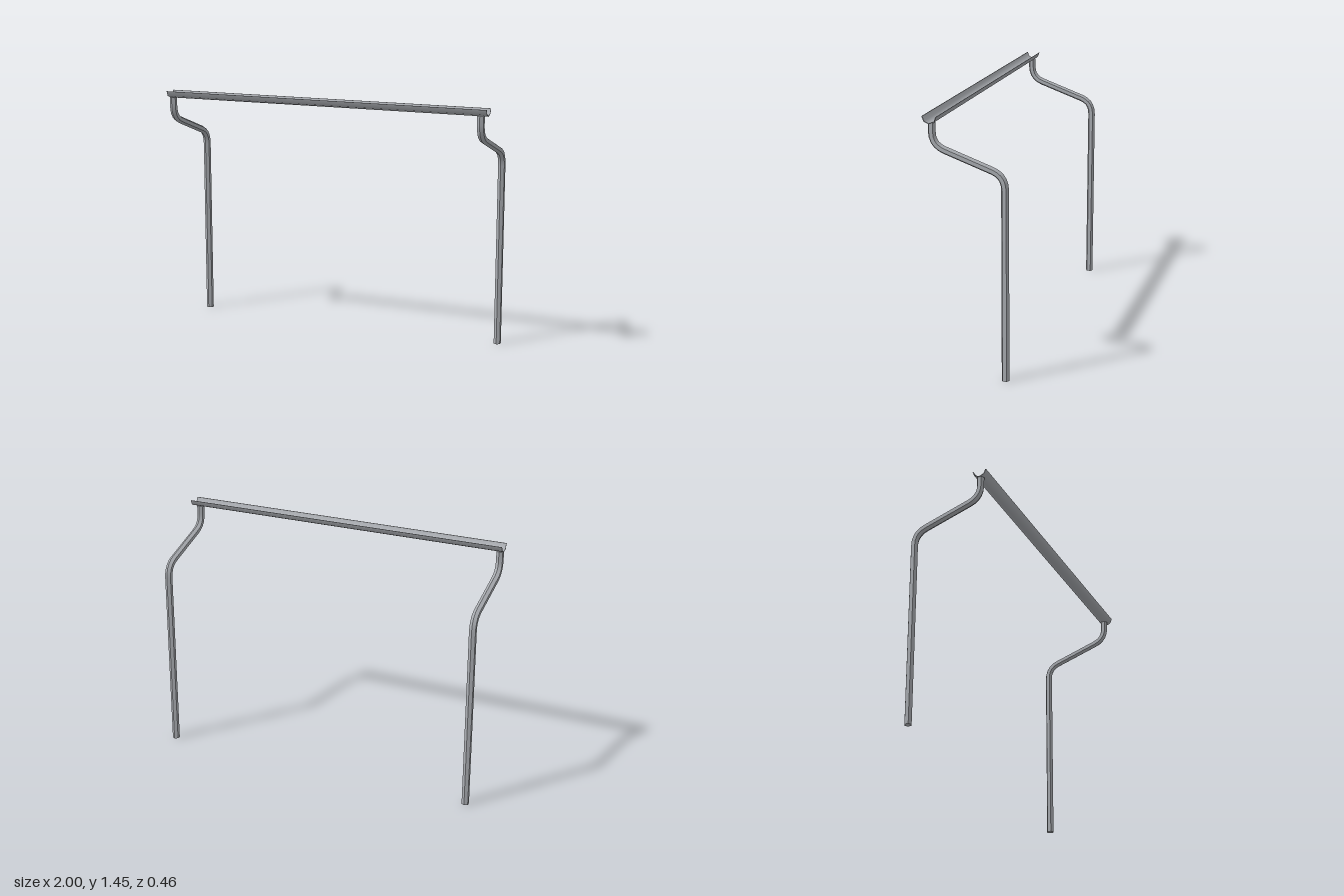
import * as THREE from 'three';
import { toCreasedNormals } from 'three/addons/utils/BufferGeometryUtils.js';

const SIDES = 6, PIPE_R = 0.0215, TROUGH_R = 0.041, SHEET = 0.004;
const FRONT_Z = 0.191, BACK_Z = -0.208, PIPE_TOP = 1.406;

// Side profile of a support pipe, from the trough down to the ground
function pipePath() {
  const v = (y, z) => new THREE.Vector3(0, y, z);
  const path = new THREE.CurvePath();
  path.add(new THREE.LineCurve3(v(PIPE_TOP, FRONT_Z), v(1.356, FRONT_Z)));
  path.add(new THREE.QuadraticBezierCurve3(v(1.356, FRONT_Z), v(1.286, FRONT_Z), v(1.261, 0.122)));
  path.add(new THREE.LineCurve3(v(1.261, 0.122), v(1.167, -0.141)));
  path.add(new THREE.QuadraticBezierCurve3(v(1.167, -0.141), v(1.143, BACK_Z), v(1.066, BACK_Z)));
  path.add(new THREE.LineCurve3(v(1.066, BACK_Z), v(0, BACK_Z)));
  return path.getPoints(5);
}

// Six-sided tube along the planar path: crisp between sides, smooth along the bends
function pipeGeometry(points) {
  const across = new THREE.Vector3(1, 0, 0);
  const position = [], normals = [], index = [];
  points.forEach((p, i) => {
    const before = p.clone().sub(points[Math.max(i - 1, 0)]).normalize();
    const after = points[Math.min(i + 1, points.length - 1)].clone().sub(p).normalize();
    const inPlane = across.clone().cross(before.add(after).normalize());
    const radial = (step) => {
      const a = (step / SIDES) * Math.PI * 2;
      return inPlane.clone().multiplyScalar(Math.cos(a)).addScaledVector(across, Math.sin(a));
    };
    for (let j = 0; j < SIDES; j++) {
      for (const corner of [j, j + 1]) {
        position.push(...p.clone().addScaledVector(radial(corner), PIPE_R).toArray());
        normals.push(...radial(j + 0.5).toArray());
      }
      if (i < points.length - 1) {
        const b = (i * SIDES + j) * 2, c = b + SIDES * 2;
        index.push(b, b + 1, c, b + 1, c + 1, c);
      }
    }
  });
  const g = new THREE.BufferGeometry();
  g.setAttribute('position', new THREE.Float32BufferAttribute(position, 3));
  g.setAttribute('normal', new THREE.Float32BufferAttribute(normals, 3));
  g.setIndex(index);
  return g;
}

// Half-round channel of thin sheet, open upward and running along x
function troughGeometry() {
  const arc = (r) => [0, 1, 2, 3, 4].map((i) => {
    const a = Math.PI + (i / 4) * Math.PI;
    return new THREE.Vector2(r * Math.cos(a), r * Math.sin(a));
  });
  const section = new THREE.Shape([...arc(TROUGH_R), ...arc(TROUGH_R - SHEET).reverse()]);
  const g = new THREE.ExtrudeGeometry(section, { depth: 2, bevelEnabled: false });
  g.translate(0, 0, -1);
  g.rotateY(Math.PI / 2);
  return toCreasedNormals(g, 0.9);
}

export function createModel() {
  const model = new THREE.Group();
  model.name = 'gutter';
  const metal = new THREE.MeshStandardMaterial({ color: 0xaaadb2 });
  metal.name = 'grey metal';

  // Trough along the top
  const trough = new THREE.Mesh(troughGeometry(), metal);
  trough.name = 'trough';
  trough.position.set(0, 1.445, FRONT_Z);
  model.add(trough);

  // A bent downpipe near each end, closed at the foot and the top
  const tube = pipeGeometry(pipePath());
  const capShape = new THREE.CircleGeometry(PIPE_R, SIDES, Math.PI / 2);
  capShape.rotateX(Math.PI / 2);
  for (const [name, x] of [['rightDownpipe', -0.978], ['leftDownpipe', 0.956]]) {
    const pipe = new THREE.Group();
    pipe.name = name;
    pipe.position.x = x;
    const body = new THREE.Mesh(tube, metal);
    body.name = 'pipe';
    const foot = new THREE.Mesh(capShape, metal);
    foot.name = 'footCap';
    foot.position.z = BACK_Z;
    const top = new THREE.Mesh(capShape, metal);
    top.name = 'topCap';
    top.rotation.x = Math.PI;
    top.position.set(0, PIPE_TOP, FRONT_Z);
    pipe.add(body, foot, top);
    model.add(pipe);
  }
  return model;
}
